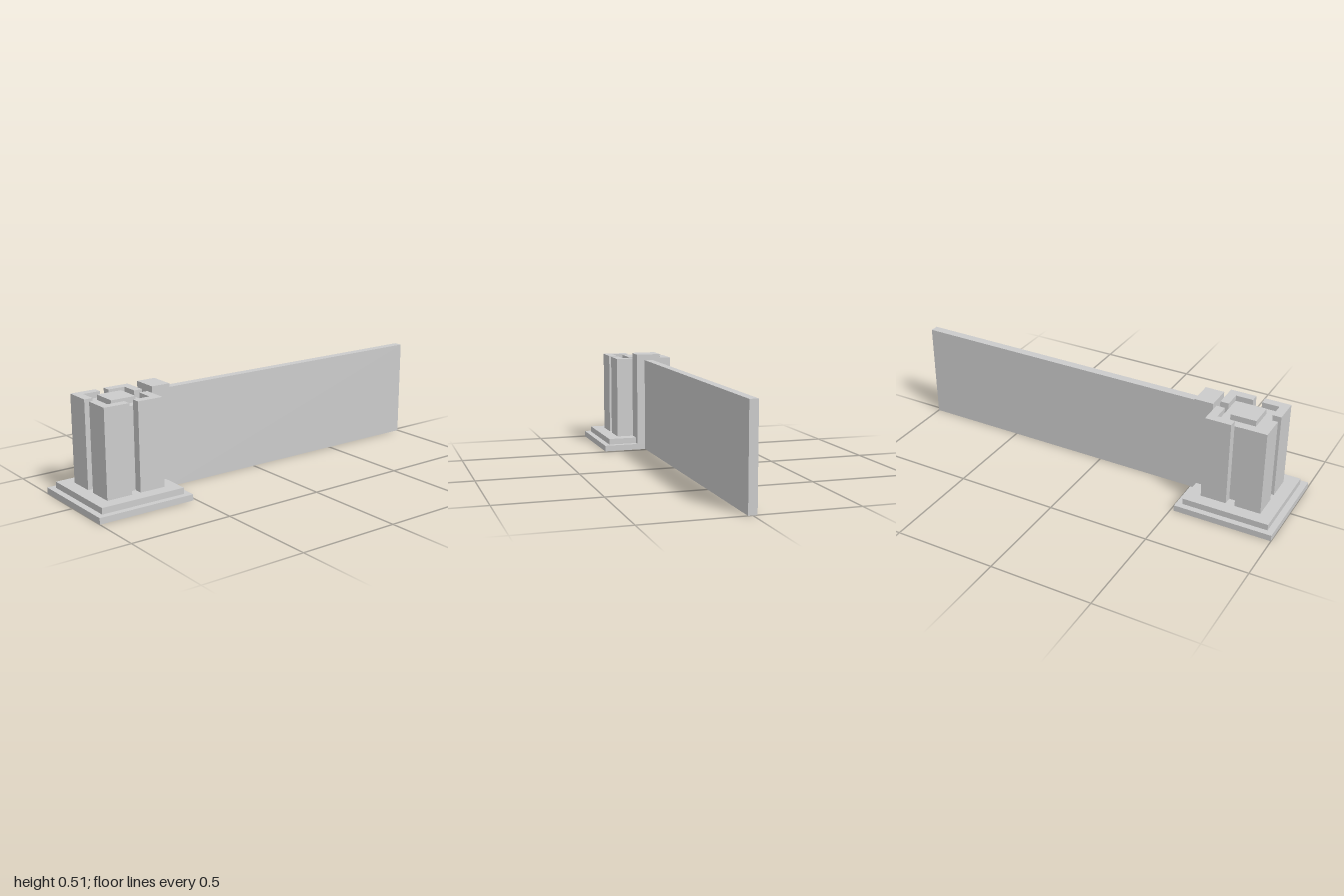
import * as THREE from 'three';
import { mergeGeometries } from 'three/addons/utils/BufferGeometryUtils.js';

const material = new THREE.MeshStandardMaterial({ color: 0xcccccc, flatShading: true, side: THREE.DoubleSide });

// Outlines are counter-clockwise [x, -z] points around the pier's axis
const square = h => [[-h, -h], [h, -h], [h, h], [-h, h]];
const turn = (pts, n) => (n ? turn(pts.map(([x, y]) => [-y, x]), n - 1) : pts);

// Upright sides following an outline
function walls(pts, y0, y1) {
  const pos = [];
  pts.forEach(([ax, ay], k) => {
    const [bx, by] = pts[(k + 1) % pts.length];
    pos.push(ax, y0, -ay, bx, y0, -by, bx, y1, -by, ax, y0, -ay, bx, y1, -by, ax, y1, -ay);
  });
  const g = new THREE.BufferGeometry();
  g.setAttribute('position', new THREE.Float32BufferAttribute(pos, 3));
  g.computeVertexNormals();
  return g;
}

// Level surface inside an outline, with an optional hole
function level(pts, y, hole) {
  const v = p => p.map(([a, b]) => new THREE.Vector2(a, b));
  const shape = new THREE.Shape(v(pts));
  if (hole) shape.holes.push(new THREE.Path(v(hole)));
  const g = new THREE.ShapeGeometry(shape).toNonIndexed();
  g.deleteAttribute('uv');
  return g.rotateX(-Math.PI / 2).translate(0, y, 0);
}

function add(parent, name, ...geometries) {
  const mesh = new THREE.Mesh(geometries.length > 1 ? mergeGeometries(geometries) : geometries[0], material);
  mesh.name = name;
  parent.add(mesh);
  return mesh;
}

function box(parent, name, x0, x1, height, depth) {
  const mesh = add(parent, name, new THREE.BoxGeometry(x1 - x0, height, depth));
  mesh.position.set((x0 + x1) / 2, height / 2, 0);
}

export function createModel() {
  const model = new THREE.Group();
  model.name = 'pierAndWall';

  const pier = new THREE.Group();
  pier.name = 'pier';
  pier.position.x = -0.758;
  model.add(pier);

  const groove = 0.022, inner = 0.107, outer = 0.149;
  const floorY = 0.455, topY = 0.483;
  const quarter = [[inner, groove], [outer, groove], [outer, outer], [groove, outer], [groove, inner]];
  const shaft = [0, 1, 2, 3].flatMap(n => turn(quarter, n));

  // Hollow stepped base, open underneath
  const low = square(0.242), high = square(0.212);
  add(pier, 'lowerStep', walls(low, 0, 0.03), level(low, 0.03, high));
  add(pier, 'upperStep', walls(high, 0.03, 0.06), level(high, 0.06, shaft));

  // Hollow shaft with a groove down the middle of each side
  const cap = square(0.0625);
  add(pier, 'shaft', walls(shaft, 0.06, floorY), level(square(inner), floorY, cap));

  // Raised corner rims and the square cap
  for (let n = 0; n < 4; n++) {
    const rim = turn([...quarter, [inner, inner]], n);
    add(pier, 'cornerRim', walls(rim, floorY, topY), level(rim, topY));
  }
  add(pier, 'cap', walls(cap, floorY, topY), level(cap, topY));

  // End post and the long wall panel
  box(model, 'endPost', -0.609, -0.516, 0.513, 0.126);
  box(model, 'wallPanel', -0.516, 1, topY, 0.042);

  return model;
}
